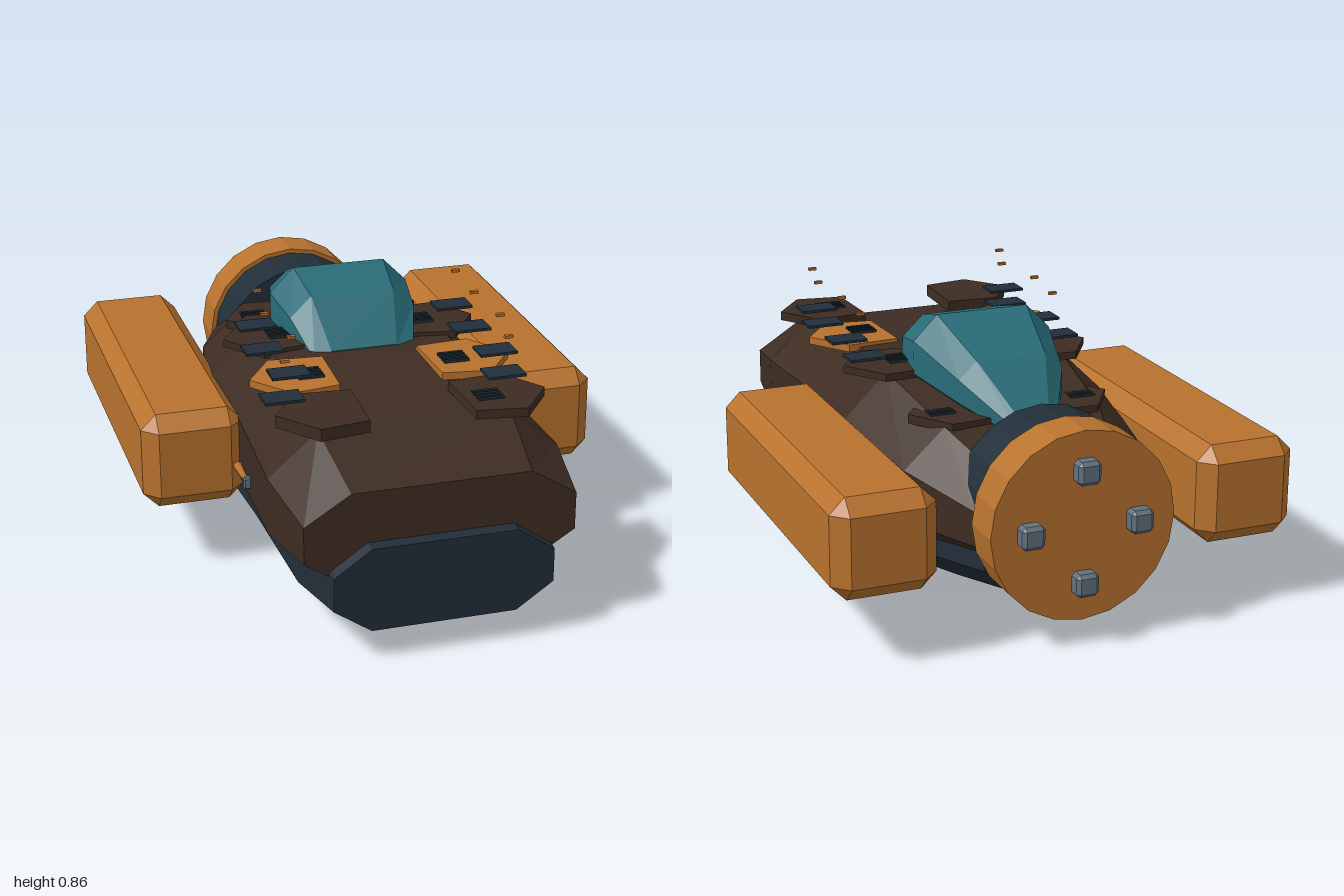
import * as THREE from 'three';
import { ConvexGeometry } from 'three/addons/geometries/ConvexGeometry.js';

const material = (name, color) => {
  const m = new THREE.MeshStandardMaterial({ color });
  m.name = name;
  return m;
};

// Octagonal loft; each section is [z, halfWidth, bottom, top], front to back
function loft(sections) {
  const rings = sections.map(([z, w, b, t]) => {
    const fx = w * 0.66, cy = (t - b) * 0.3;
    return [[fx, b], [w, b + cy], [w, t - cy], [fx, t], [-fx, t], [-w, t - cy], [-w, b + cy], [-fx, b]]
      .map(([x, y]) => [x, y, z]);
  });
  const pos = [];
  const tri = (...corners) => corners.forEach((c) => pos.push(...c));
  for (let i = 0; i < rings.length - 1; i++) {
    for (let k = 0; k < 8; k++) {
      const n = (k + 1) % 8;
      const a = rings[i][k], b = rings[i][n], c = rings[i + 1][n], d = rings[i + 1][k];
      tri(a, d, b);
      tri(b, d, c);
    }
  }
  const first = rings[0], last = rings[rings.length - 1];
  for (let k = 1; k < 7; k++) {
    tri(first[0], first[k], first[k + 1]);
    tri(last[0], last[k + 1], last[k]);
  }
  const g = new THREE.BufferGeometry();
  g.setAttribute('position', new THREE.Float32BufferAttribute(pos, 3));
  g.computeVertexNormals();
  return g;
}

// Box with flat bevelled edges and corners
function chamferBox(w, h, d, b) {
  const points = [];
  for (const sx of [-1, 1]) for (const sy of [-1, 1]) for (const sz of [-1, 1]) {
    for (let axis = 0; axis < 3; axis++) {
      const inset = [b, b, b];
      inset[axis] = 0;
      points.push(new THREE.Vector3(
        sx * (w / 2 - inset[0]), sy * (h / 2 - inset[1]), sz * (d / 2 - inset[2])));
    }
  }
  return new ConvexGeometry(points);
}

// Five-sided deck plate lying flat between y0 and y1
function deckPlate(side, shift, z, y0, y1) {
  const outline = [[0.16, -0.13], [0.34, -0.145], [0.435, 0], [0.33, 0.14], [0.17, 0.115]];
  const shape = new THREE.Shape(outline.map(([x, dz]) => new THREE.Vector2(side * (x + shift), -(z + dz))));
  const g = new THREE.ExtrudeGeometry(shape, { depth: y1 - y0, bevelEnabled: false });
  return g.rotateX(-Math.PI / 2).translate(0, y0, 0);
}

export function createModel() {
  const brown = material('hull brown', 0x3d2c22);
  const navy = material('dark navy', 0x212e39);
  const orange = material('burnt orange', 0xb8722e);
  const teal = material('canopy teal', 0x286c78);
  const grey = material('steel grey', 0x62717d);

  const model = new THREE.Group();
  model.name = 'spacecraft';
  const add = (name, geometry, mat, x = 0, y = 0, z = 0) => {
    const mesh = new THREE.Mesh(geometry, mat);
    mesh.name = name;
    mesh.position.set(x, y, z);
    model.add(mesh);
    return mesh;
  };

  // Hull, belly and canopy
  add('upperHull', loft([
    [0.96, 0.43, 0.24, 0.545], [0.69, 0.47, 0.17, 0.635], [0.2, 0.45, 0.14, 0.663],
    [-0.1, 0.475, 0.13, 0.66], [-0.5, 0.405, 0.17, 0.59], [-0.8, 0.29, 0.22, 0.5],
  ]), brown);
  add('belly', loft([
    [1.0, 0.35, 0.1, 0.375], [0.72, 0.385, 0.035, 0.4], [0.2, 0.39, 0.013, 0.4],
    [-0.07, 0.4, 0, 0.4], [-0.5, 0.34, 0.085, 0.4], [-0.8, 0.26, 0.14, 0.4],
  ]), navy);
  add('canopy', loft([
    [0.15, 0.17, 0.58, 0.665], [0.01, 0.215, 0.58, 0.81], [-0.16, 0.24, 0.58, 0.855],
    [-0.4, 0.18, 0.57, 0.76], [-0.6, 0.07, 0.545, 0.605],
  ]), teal);

  // Engine collar, ring and four nozzles
  const drum = (r, len) => new THREE.CylinderGeometry(r, r, len, 20).toNonIndexed().rotateX(Math.PI / 2);
  for (const [name, r, len, mat, z] of [
    ['engineCollar', 0.29, 0.18, navy, -0.725], ['engineRing', 0.305, 0.145, orange, -0.8825]]) {
    const g = drum(r, len);
    g.computeVertexNormals();
    add(name, g, mat, 0, 0.385, z);
  }
  for (let i = 0; i < 4; i++) {
    const a = i * Math.PI / 2;
    add('nozzle', chamferBox(0.075, 0.075, 0.09, 0.012), grey,
      0.18 * Math.cos(a), 0.385 + 0.18 * Math.sin(a), -0.955);
  }

  for (const side of [-1, 1]) {
    // Side pods with a small forward probe
    add('sidePod', chamferBox(0.335, 0.325, 1.175, 0.05), orange, side * 0.6025, 0.3825, -0.3125);
    add('probeArm', new THREE.CylinderGeometry(0.008, 0.015, 0.13, 8).rotateX(Math.PI / 2),
      orange, side * 0.465, 0.352, 0.335);
    add('probeTip', chamferBox(0.03, 0.04, 0.025, 0.005), grey, side * 0.465, 0.355, 0.408);

    // Deck plates
    add('frontDeckPlate', deckPlate(side, 0, 0.66, 0.65, side < 0 ? 0.69 : 0.68), brown);
    add('orangeDeckPlate', deckPlate(side, 0, 0.335, 0.65, 0.675), orange);
    add('middleDeckPlate', deckPlate(side, 0, -0.025, 0.65, 0.675), brown);
    add('rearDeckPlate', deckPlate(side, -0.09, -0.38, 0.575, 0.605), brown);

    // Vent slats
    for (const [z, y] of [[0.67, 0.68], [0.342, 0.68], [-0.025, 0.68], [-0.39, 0.607]]) {
      for (let i = 0; i < 4; i++) {
        add('ventSlat', new THREE.BoxGeometry(0.085, 0.009, 0.011), navy, side * 0.243, y, z + (i - 1.5) * 0.022);
      }
    }
  }

  // Hovering panels with a small marker above each
  const panels = [[-0.32, -0.05], [-0.35, 0.165], [-0.32, 0.385], [-0.39, 0.57],
    [0.37, -0.05], [0.36, 0.165], [0.37, 0.385], [0.33, 0.57]];
  for (const [x, z] of panels) {
    add('hoverPanel', new THREE.BoxGeometry(0.125, 0.009, 0.085), navy, x, 0.706, z);
    add('marker', new THREE.BoxGeometry(0.027, 0.009, 0.014), orange, x, 0.841, z + 0.036);
  }
  return model;
}
